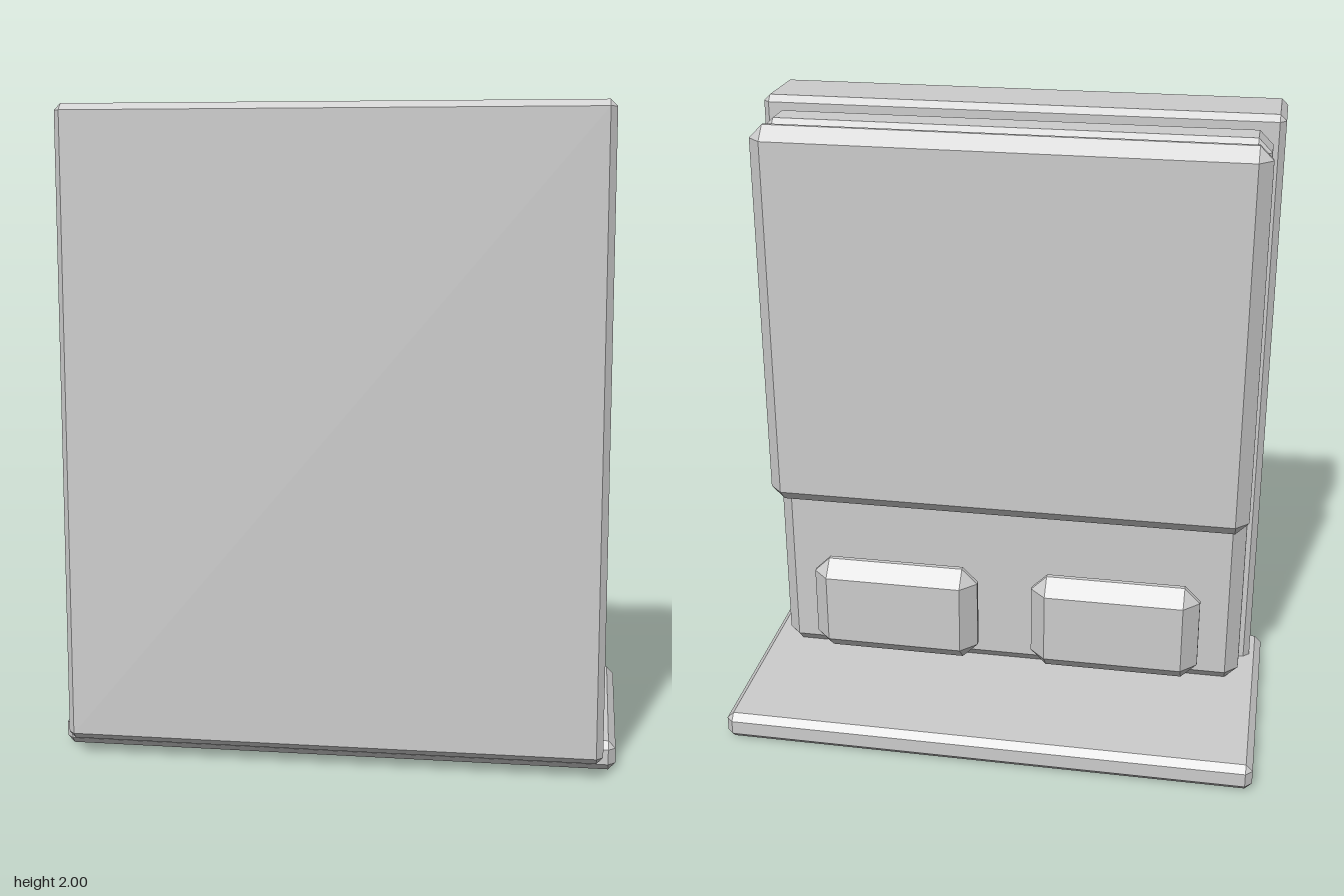
import * as THREE from 'three';
import { ConvexGeometry } from 'three/addons/geometries/ConvexGeometry.js';

const grey = new THREE.MeshStandardMaterial({ color: 0xcccccc });
grey.name = 'light grey';

// Box with every edge cut by a flat chamfer and a triangle at each corner
function chamferBox(name, [x0, x1], [y0, y1], [z0, z1], bevel) {
  const half = [(x1 - x0) / 2, (y1 - y0) / 2, (z1 - z0) / 2];
  const points = [];
  for (const sx of [-1, 1]) for (const sy of [-1, 1]) for (const sz of [-1, 1])
    for (let face = 0; face < 3; face++) {
      const [x, y, z] = half.map((h, axis) => (axis === face ? h : h - bevel));
      points.push(new THREE.Vector3(sx * x, sy * y, sz * z));
    }
  const mesh = new THREE.Mesh(new ConvexGeometry(points), grey);
  mesh.name = name;
  mesh.position.set((x0 + x1) / 2, (y0 + y1) / 2, (z0 + z1) / 2);
  return mesh;
}

export function createModel() {
  const model = new THREE.Group();
  model.name = 'standingPanel';

  model.add(
    chamferBox('base', [-0.863, 0.863], [0, 0.09], [-0.46, 0.365], 0.022),
    chamferBox('frontPanel', [-0.825, 0.825], [0.05, 2], [0.2, 0.46], 0.02),
    chamferBox('middlePanel', [-0.79, 0.79], [0.09, 1.965], [0.015, 0.2], 0.043),
    chamferBox('rearPanel', [-0.797, 0.797], [0.69, 1.965], [-0.077, 0.023], 0.043)
  );

  // Pair of low pads on the back
  model.add(
    chamferBox('leftPad', [0.092, 0.655], [0.145, 0.485], [-0.105, 0.015], 0.052),
    chamferBox('rightPad', [-0.655, -0.092], [0.145, 0.485], [-0.105, 0.015], 0.052)
  );
  return model;
}
